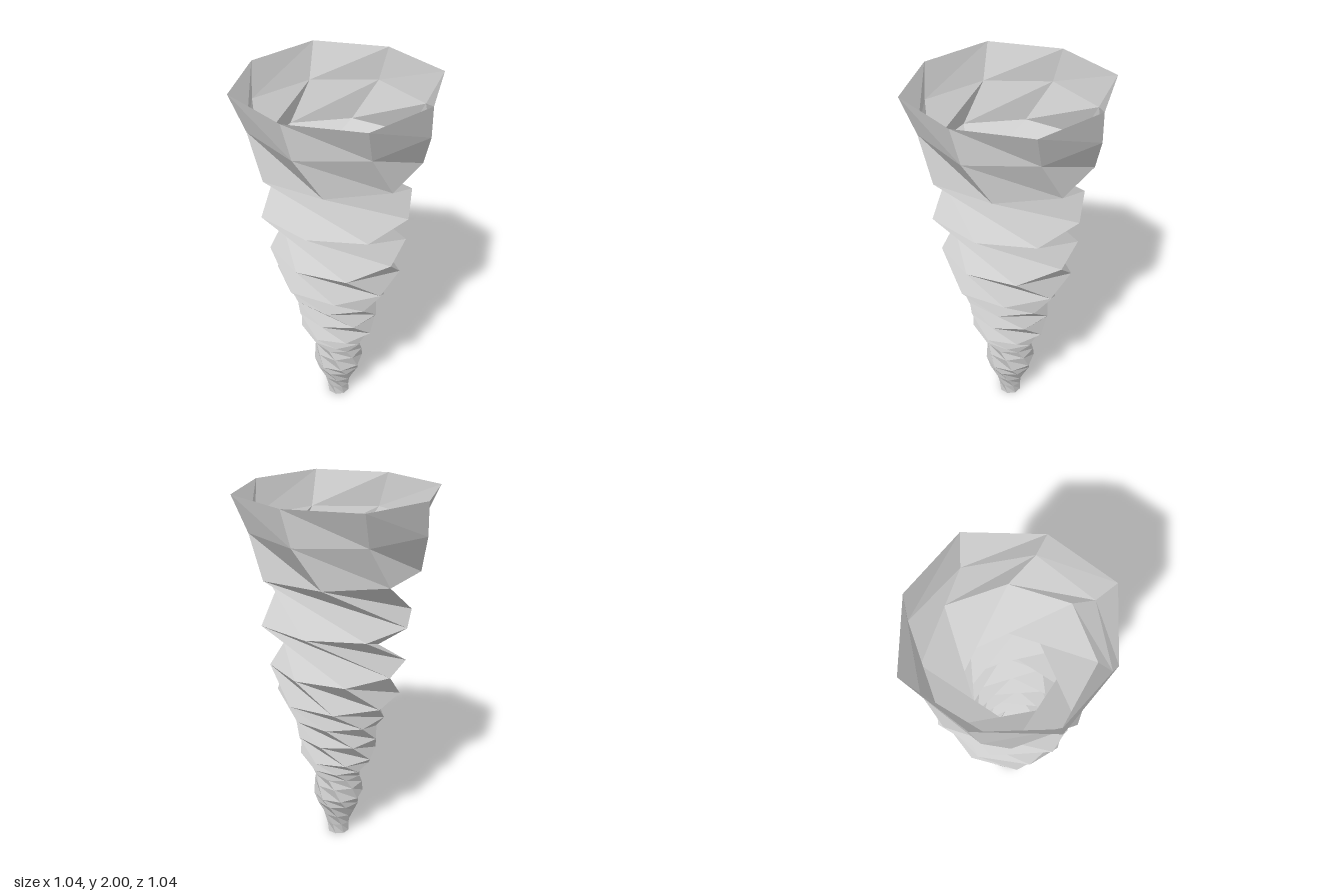
import * as THREE from 'three';

const SIDES = 8;

// Rings from rim to tip: height, radius of even and odd corners, twist in degrees from the ring above
const RINGS = [
  [2.0, 0.521, 0.552, 3.3],
  [1.81, 0.5, 0.477, 5],
  [1.59, 0.437, 0.456, 16],
  [1.31, 0.398, 0.426, 75],
  [1.05, 0.354, 0.372, 76],
  [0.88, 0.338, 0.338, 35],
  [0.75, 0.26, 0.26, 35],
  [0.63, 0.23, 0.23, 35],
  [0.515, 0.214, 0.214, 35],
  [0.44, 0.17, 0.17, 30],
  [0.38, 0.132, 0.132, 25],
  [0.325, 0.136, 0.136, 15],
  [0.25, 0.14, 0.14, 15],
  [0.2, 0.122, 0.122, 15],
  [0.125, 0.088, 0.088, 20],
  [0.06, 0.066, 0.066, 20],
  [0, 0.062, 0.062, 15],
];

// Open faceted tube, each ring turned further than the one above it
function twistedShell(rings) {
  const positions = [];
  const index = [];
  let angle = 0;
  rings.forEach(([y, even, odd, twist], i) => {
    angle -= THREE.MathUtils.degToRad(twist);
    for (let k = 0; k < SIDES; k++) {
      const r = k % 2 ? odd : even;
      const a = angle + (k / SIDES) * Math.PI * 2;
      positions.push(r * Math.cos(a), y, r * Math.sin(a));
      if (i === 0) continue;
      const next = (k + 1) % SIDES;
      const up = (i - 1) * SIDES;
      const low = i * SIDES;
      index.push(up + k, up + next, low + k);
      index.push(up + next, low + next, low + k);
    }
  });
  const geometry = new THREE.BufferGeometry();
  geometry.setAttribute('position', new THREE.Float32BufferAttribute(positions, 3));
  geometry.setIndex(index);
  const faceted = geometry.toNonIndexed();
  faceted.computeVertexNormals();
  return faceted;
}

export function createModel() {
  const group = new THREE.Group();
  group.name = 'twistedHorn';
  const material = new THREE.MeshStandardMaterial({
    color: 0xcccccc,
    flatShading: true,
    side: THREE.DoubleSide,
  });
  const shell = new THREE.Mesh(twistedShell(RINGS), material);
  shell.name = 'hornShell';
  group.add(shell);
  return group;
}
